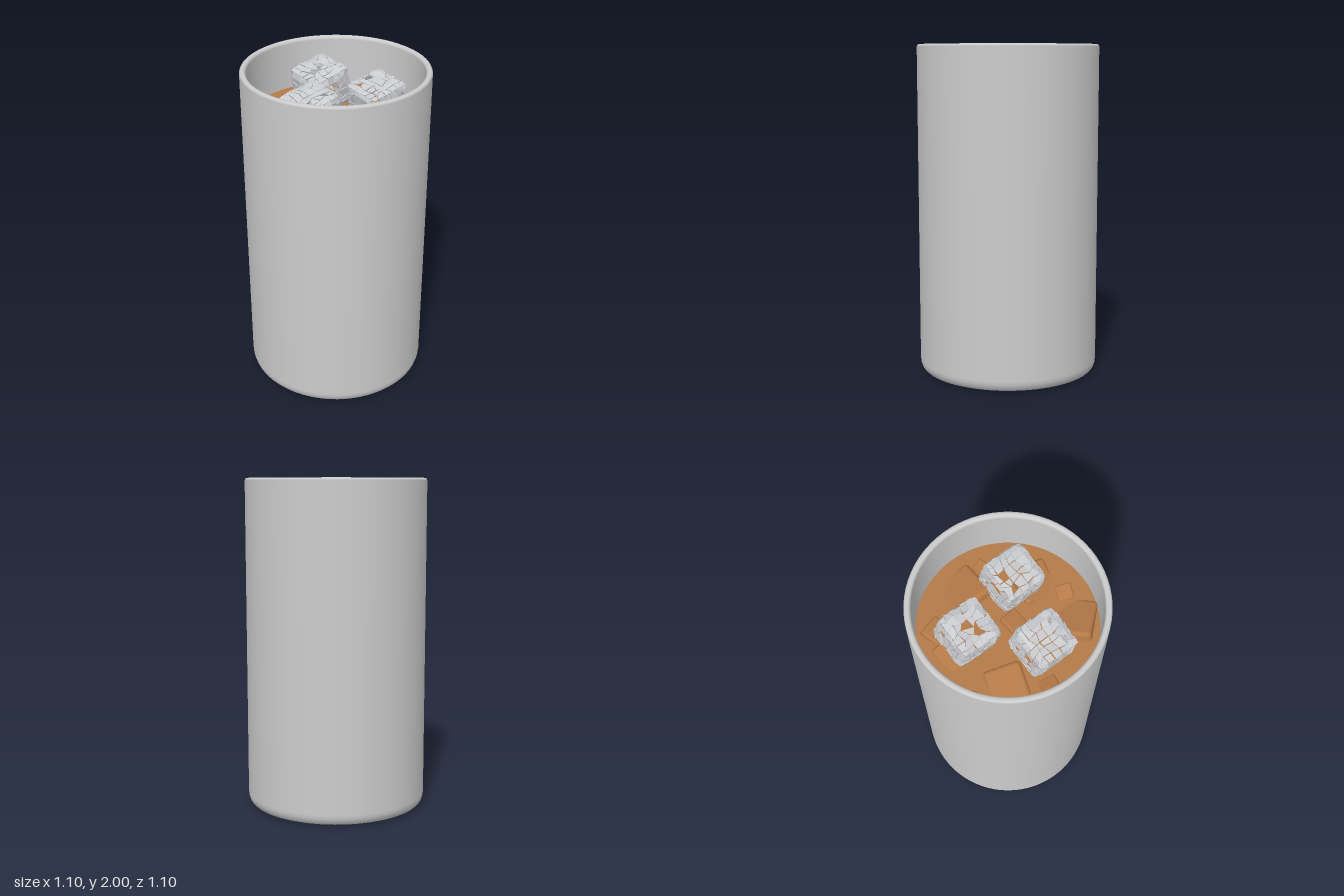
import * as THREE from 'three';
import { mergeGeometries } from 'three/addons/utils/BufferGeometryUtils.js';
import { RoundedBoxGeometry } from 'three/addons/geometries/RoundedBoxGeometry.js';

const glassGray = new THREE.MeshStandardMaterial({ color: 0xcccccc });
const drinkBrown = new THREE.MeshStandardMaterial({ color: 0xb57a48 });
const iceGray = new THREE.MeshStandardMaterial({ color: 0xcaccd0 });
glassGray.name = 'glassGray';
drinkBrown.name = 'drinkBrown';
iceGray.name = 'iceGray';

const LEVEL = 1.7;

function makeRandom(seed) {
  return () => {
    seed = (seed * 16807) % 2147483647;
    return seed / 2147483647;
  };
}

function addMesh(parent, name, geometry, material) {
  const mesh = new THREE.Mesh(geometry, material);
  mesh.name = name;
  parent.add(mesh);
  return mesh;
}

// Tumbler wall: one closed profile with a rounded foot and rim
function glassGeometry() {
  const profile = [
    [0, 0], [0.49, 0], [0.505, 0.002], [0.525, 0.01], [0.539, 0.026], [0.546, 0.048], [0.548, 0.07],
    [0.548, 1.985], [0.544, 1.995], [0.535, 2], [0.522, 1.999], [0.514, 1.992], [0.51, 1.98],
    [0.51, 0.12], [0.48, 0.08], [0, 0.08],
  ].map(([x, y]) => new THREE.Vector2(x, y));
  return new THREE.LatheGeometry(profile, 72);
}

// Map a point of the cube [-1, 1] onto a cube with rounded edges
function roundOff(p, radius) {
  const lim = 1 - radius;
  const core = p.clone().clampScalar(-lim, lim);
  return p.clone().sub(core).normalize().multiplyScalar(radius).add(core);
}

// Cracked ice: a rounded shell of thin, irregular shards with gaps between
function iceGeometry(seed, half) {
  const rnd = makeRandom(seed);
  const n = 6;
  const parts = [];
  const faceTurns = [
    [0, 0, 0], [Math.PI, 0, 0], [Math.PI / 2, 0, 0],
    [-Math.PI / 2, 0, 0], [0, 0, Math.PI / 2], [0, 0, -Math.PI / 2],
  ];
  for (const turn of faceTurns) {
    const rotation = new THREE.Euler(...turn);
    // jittered lattice of crack corners
    const lattice = [];
    for (let i = 0; i <= n; i++) {
      lattice.push([]);
      for (let j = 0; j <= n; j++) {
        const jx = i % n ? (rnd() - 0.5) * 0.24 : 0;
        const jz = j % n ? (rnd() - 0.5) * 0.24 : 0;
        lattice[i].push([(i / n) * 2 - 1 + jx, (j / n) * 2 - 1 + jz]);
      }
    }
    for (let i = 0; i < n; i++) {
      for (let j = 0; j < n; j++) {
        const inside = i > 0 && j > 0 && i < n - 1 && j < n - 1;
        if (inside && rnd() < 0.13) continue;
        const corners = [lattice[i][j], lattice[i + 1][j], lattice[i][j + 1], lattice[i + 1][j + 1]];
        const mid = [0, 1].map((k) => corners.reduce((sum, c) => sum + c[k], 0) / 4);
        const shrink = 0.84 + rnd() * 0.14;
        const tiltX = (rnd() - 0.5) * 0.3;
        const tiltZ = (rnd() - 0.5) * 0.3;
        const box = new THREE.BoxGeometry(1, 1, 1);
        const pos = box.attributes.position;
        for (let v = 0; v < pos.count; v++) {
          const c = corners[(pos.getX(v) > 0 ? 1 : 0) + (pos.getZ(v) > 0 ? 2 : 0)];
          const dx = (c[0] - mid[0]) * shrink;
          const dz = (c[1] - mid[1]) * shrink;
          const p = roundOff(new THREE.Vector3(mid[0] + dx, 1, mid[1] + dz), 0.28);
          const layer = (pos.getY(v) > 0 ? 1 : 0.95) + dx * tiltX + dz * tiltZ;
          p.multiplyScalar(layer * half).applyEuler(rotation);
          pos.setXYZ(v, p.x, p.y, p.z);
        }
        const shard = box.toNonIndexed();
        shard.computeVertexNormals();
        parts.push(shard);
      }
    }
  }
  return mergeGeometries(parts);
}

export function createModel() {
  const model = new THREE.Group();
  model.name = 'icedDrink';

  addMesh(model, 'glass', glassGeometry(), glassGray);

  // Drink filling the tumbler
  const drink = addMesh(model, 'drink', new THREE.CylinderGeometry(0.509, 0.48, LEVEL - 0.1, 72), drinkBrown);
  drink.position.y = (LEVEL + 0.1) / 2;

  // Half-sunk lumps on the drink: x, z, size, yaw, tilt x, tilt z
  const lumps = [
    [-0.02, -0.31, 0.24, -0.15, -0.22, 0.12],
    [-0.23, 0.23, 0.21, -0.45, 0.2, 0.15],
    [0.28, 0.25, 0.24, 0.6, -0.2, -0.2],
    [0.28, -0.1, 0.22, -0.3, 0.15, -0.2],
    [-0.31, -0.1, 0.18, -0.1, 0.12, 0.2],
    [0.03, 0, 0.11, -0.05, 0.15, -0.2],
    [0.37, 0.08, 0.09, -0.5, 0.3, 0.2],
    [-0.42, 0.18, 0.07, 0.4, 0.3, 0.3],
    [-0.09, 0.42, 0.1, -0.4, -0.3, 0.2],
    [-0.31, -0.26, 0.13, 0.15, 0.25, -0.1],
    [0.15, -0.35, 0.07, 0.1, -0.2, 0.3],
  ];
  for (const [x, z, size, yaw, tiltX, tiltZ] of lumps) {
    const lump = addMesh(model, 'lump', new RoundedBoxGeometry(size, size, size, 3, size * 0.1), drinkBrown);
    lump.position.set(x, LEVEL + 0.025 - size * 0.5, z);
    lump.rotation.set(tiltX, yaw, tiltZ, 'YXZ');
  }

  // Three floating ice cubes, all leaning the same way
  [[-0.215, -0.1], [0.185, -0.155], [0.03, 0.23]].forEach(([x, z], i) => {
    const cube = addMesh(model, 'iceCube', iceGeometry(917 + i * 4231, 0.131), iceGray);
    cube.position.set(x, 1.795, z);
    cube.rotation.set(0.2, -0.13, -0.08, 'YXZ');
  });

  return model;
}
